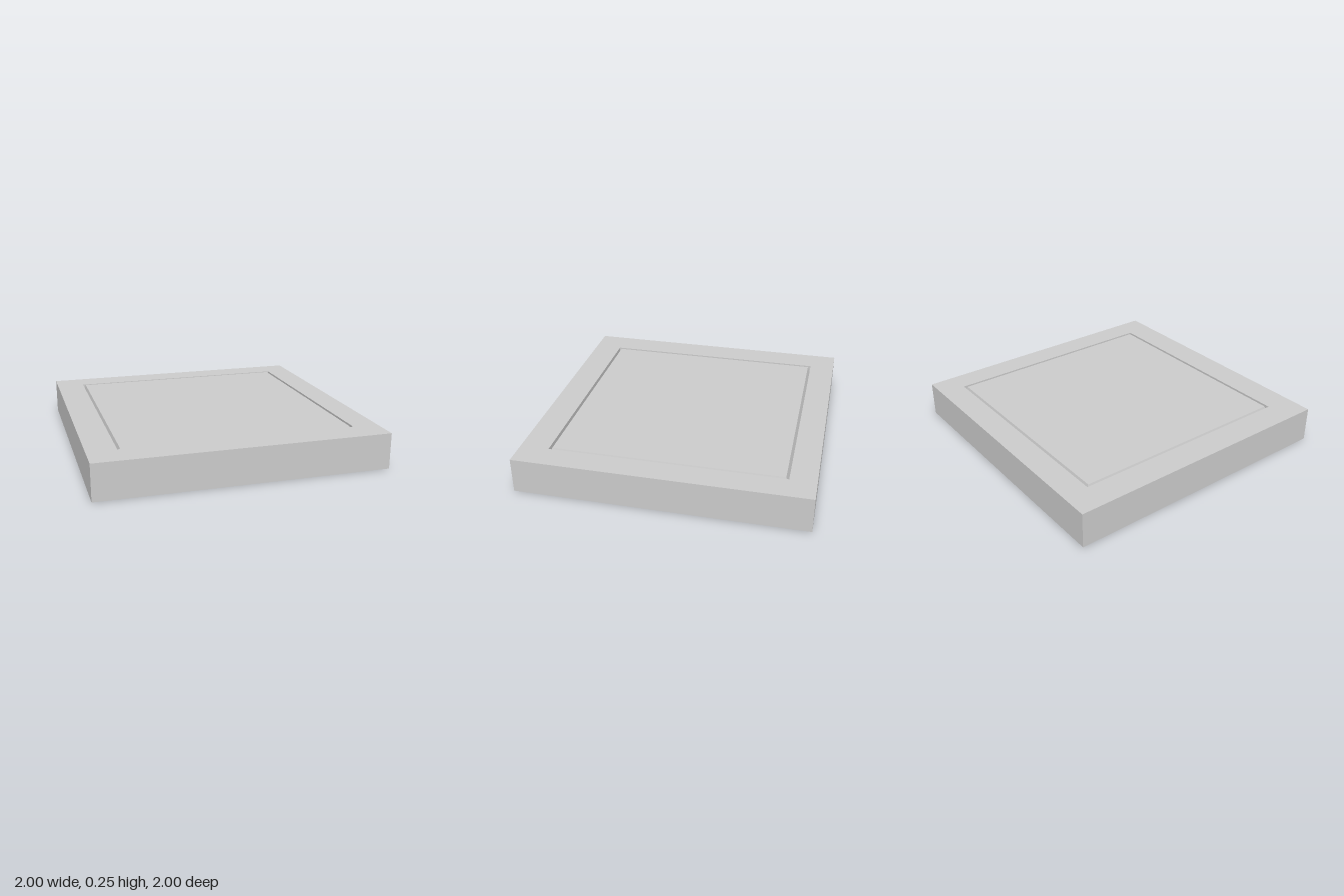
import * as THREE from 'three';

const HEIGHT = 0.25, DEPTH = 0.06;      // slab height, groove depth
const CX = 0.01, CZ = -0.01;            // centre of the inset panel
const OUTER = 0.81, INNER = 0.79;       // half widths of the groove

// Adds the four corners of a square to a shape or path
function square(path, half, cx = 0, cy = 0) {
  path.moveTo(cx - half, cy - half);
  path.lineTo(cx + half, cy - half);
  path.lineTo(cx + half, cy + half);
  path.lineTo(cx - half, cy + half);
  path.closePath();
  return path;
}

export function createModel() {
  const group = new THREE.Group();
  const material = new THREE.MeshStandardMaterial({ color: 0xcccccc, flatShading: true });
  const add = (name, geometry) => {
    const mesh = new THREE.Mesh(geometry, material);
    mesh.name = name;
    group.add(mesh);
  };

  // Solid lower slab
  const low = HEIGHT - DEPTH;
  add('base', new THREE.BoxGeometry(2, low, 2).translate(0, low / 2, 0));

  // Square border with an upright inner wall
  const border = square(new THREE.Shape(), 1);
  border.holes.push(square(new THREE.Path(), OUTER, CX, -CZ));
  const rim = new THREE.ExtrudeGeometry(border, { depth: DEPTH, bevelEnabled: false });
  add('border', rim.rotateX(-Math.PI / 2).translate(0, low, 0));

  // Inset panel, flush with the border, its sides sloping out to the groove floor
  const panel = new THREE.CylinderGeometry(INNER * Math.SQRT2, OUTER * Math.SQRT2, DEPTH, 4);
  add('panel', panel.rotateY(Math.PI / 4).translate(CX, low + DEPTH / 2, CZ));

  return group;
}
